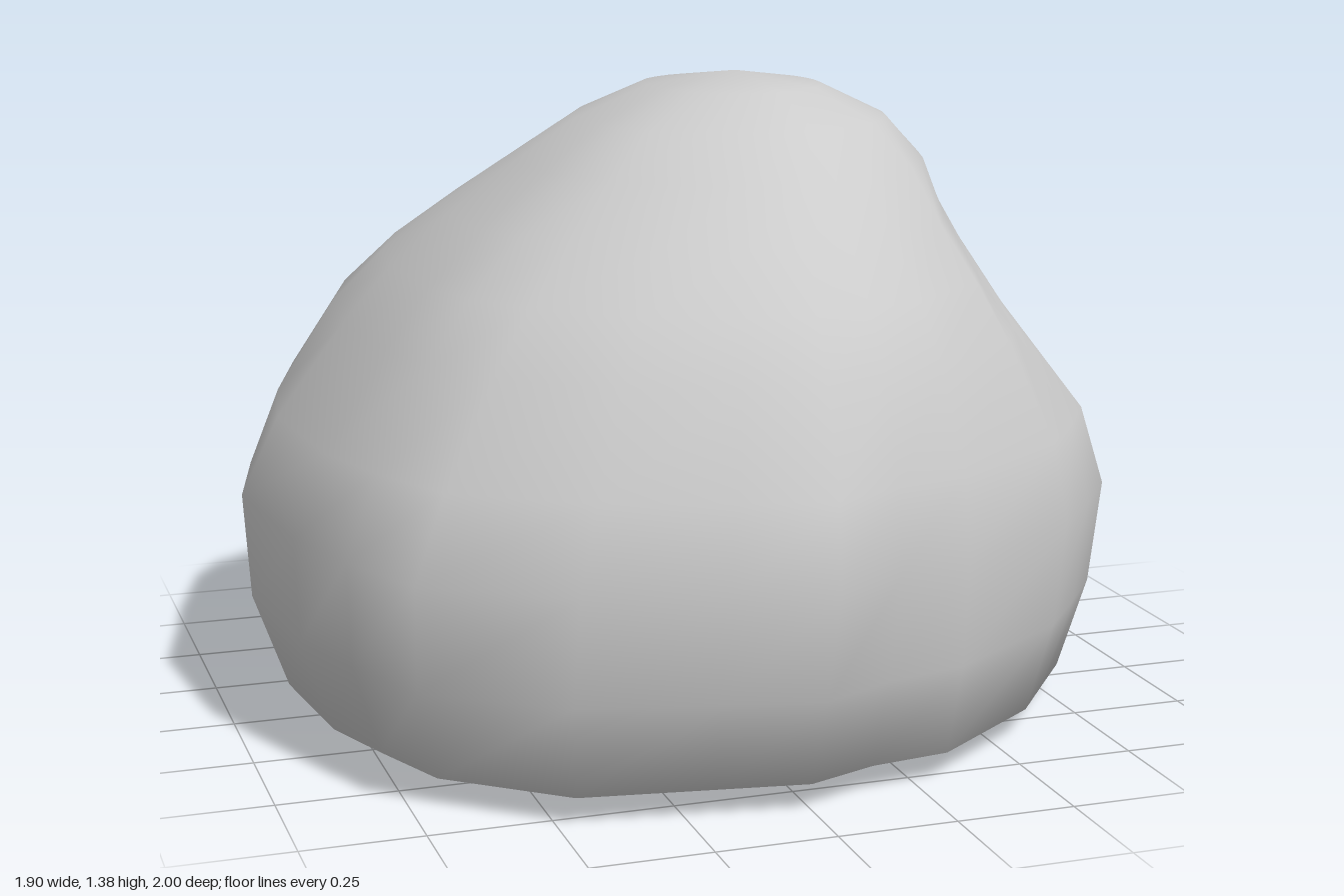
import * as THREE from 'three';
import { mergeVertices } from 'three/addons/utils/BufferGeometryUtils.js';

// Widest outline of the boulder seen from above (x, z)
const OUTLINE = [
  [-0.02, -1], [0.16, -0.98], [0.35, -0.94], [0.54, -0.9], [0.7, -0.78], [0.81, -0.62], [0.91, -0.46],
  [0.94, -0.25], [0.95, -0.04], [0.91, 0.17], [0.86, 0.38], [0.75, 0.53], [0.63, 0.67], [0.33, 0.85],
  [0.16, 0.91], [0, 1], [-0.2, 0.94], [-0.47, 0.86], [-0.75, 0.69], [-0.84, 0.48], [-0.91, 0.28],
  [-0.95, -0.1], [-0.88, -0.38], [-0.79, -0.68], [-0.6, -0.79], [-0.4, -0.9], [-0.2, -0.96],
];

// Cross-sections from the base to the peak: y, min x, max x, min z, max z
const RINGS = [
  [0, -0.03, -0.03, -0.04, -0.04],
  [0.052, -0.76, 0.74, -0.69, 0.75],
  [0.06, -0.87, 0.86, -0.79, 0.86],
  [0.26, -0.94, 0.92, -0.92, 0.96],
  [0.48, -0.95, 0.95, -1, 1],
  [0.65, -0.87, 0.9, -0.93, 0.95],
  [0.85, -0.72, 0.78, -0.82, 0.84],
  [0.97, -0.62, 0.71, -0.71, 0.75],
  [1.08, -0.5, 0.63, -0.59, 0.64],
  [1.19, -0.36, 0.55, -0.44, 0.52],
  [1.28, -0.23, 0.45, -0.31, 0.4],
  [1.345, -0.07, 0.31, -0.19, 0.25],
  [1.38, 0.1, 0.1, 0.1, 0.1],
];

// Hollows (positive depth) and swellings (negative depth) on the sides
const WEAR = [
  { at: new THREE.Vector3(0.5, 0.96, -0.5), depth: 0.16, radius: 0.3 },
  { at: new THREE.Vector3(0.62, 0.98, 0.27), depth: 0.13, radius: 0.26 },
  { at: new THREE.Vector3(-0.42, 1.03, 0.42), depth: 0.06, radius: 0.13 },
  { at: new THREE.Vector3(-0.5, 0.97, 0.45), depth: -0.05, radius: 0.3 },
  { at: new THREE.Vector3(-0.55, 0.85, -0.5), depth: -0.09, radius: 0.3 },
  { at: new THREE.Vector3(-0.38, 0.06, 0.74), depth: -0.08, radius: 0.24 },
  { at: new THREE.Vector3(0.34, 0.06, 0.72), depth: -0.08, radius: 0.24 },
];

function boulderGeometry() {
  const positions = [];
  const index = [];
  const n = OUTLINE.length;
  const p = new THREE.Vector3();

  RINGS.forEach(([y, x0, x1, z0, z1], r) => {
    const cx = (x0 + x1) / 2;
    const cz = (z0 + z1) / 2;
    // The corners of the outline soften towards the top
    const soft = 0.7 * THREE.MathUtils.smoothstep(y, 0.45, 0.95);
    OUTLINE.forEach(([ox, oz], i) => {
      const round = THREE.MathUtils.lerp(1, 1 / Math.hypot(ox / 0.95, oz), soft);
      p.set(cx + (ox / 0.95) * round * (x1 - x0) / 2, y, cz + oz * round * (z1 - z0) / 2);
      let scale = 1;
      for (const { at, depth, radius } of WEAR) {
        scale -= depth * Math.exp(-p.distanceToSquared(at) / (radius * radius));
      }
      positions.push(cx + (p.x - cx) * scale, y, cz + (p.z - cz) * scale);
      if (r === 0) return;
      const j = (i + 1) % n;
      const low = (r - 1) * n;
      const up = r * n;
      // The end rings shrink to a point, so they need one triangle per side
      if (r < RINGS.length - 1) index.push(low + j, up + i, up + j);
      if (r > 1) index.push(low + i, up + i, low + j);
    });
  });

  const geometry = new THREE.BufferGeometry();
  geometry.setAttribute('position', new THREE.Float32BufferAttribute(positions, 3));
  geometry.setIndex(index);
  const smooth = mergeVertices(geometry, 1e-4);
  smooth.computeVertexNormals();
  return smooth;
}

export function createModel() {
  const group = new THREE.Group();
  group.name = 'rock';
  const boulder = new THREE.Mesh(boulderGeometry(), new THREE.MeshStandardMaterial({ color: 0xcccccc }));
  boulder.name = 'boulder';
  group.add(boulder);
  return group;
}
